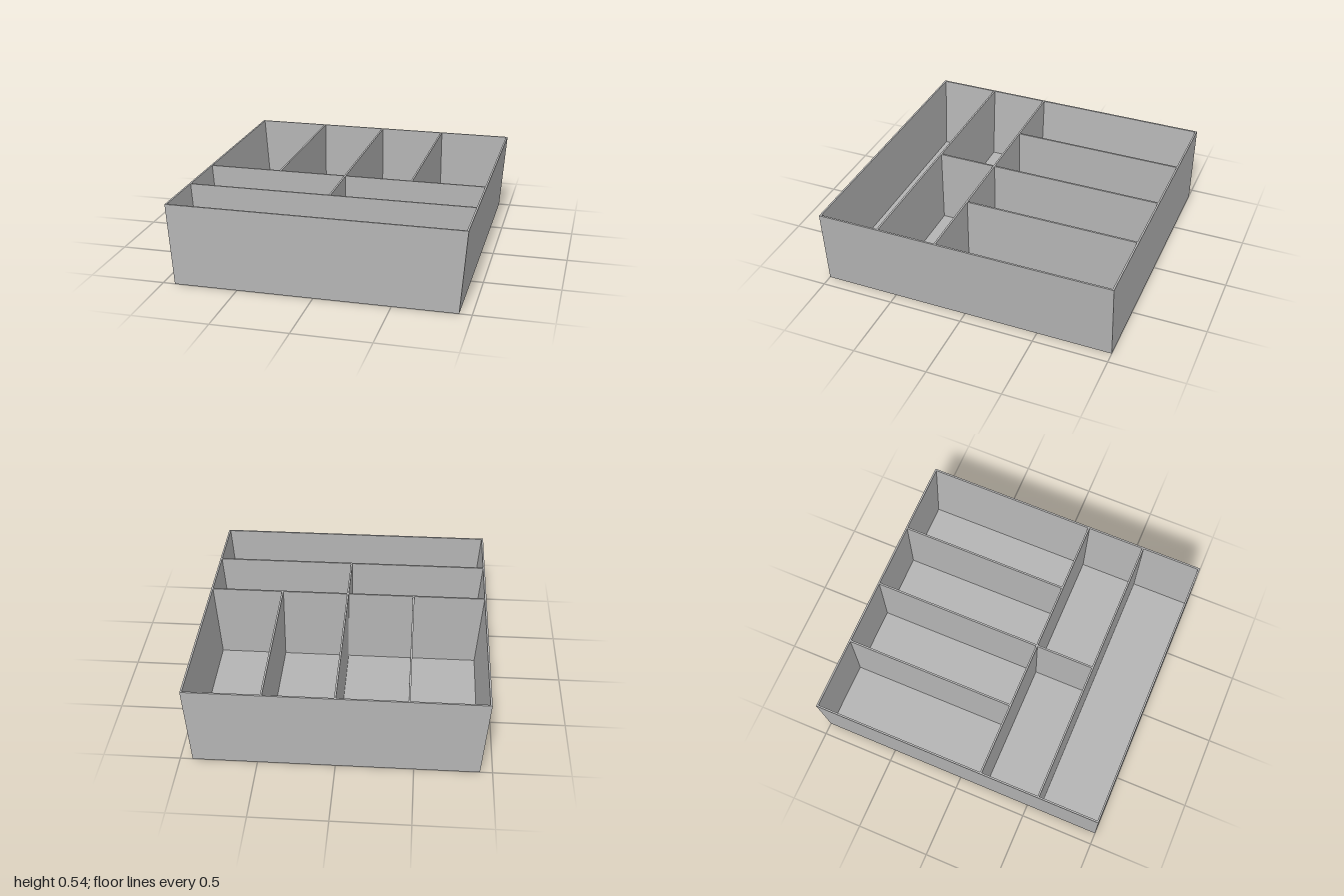
import * as THREE from 'three';

const H = 0.54;        // tray height
const T = 0.012;       // wall thickness
const BOTTOM = 0.92;   // outer half width at the base
const TOP = 0.96;      // outer half width at the rim

// Outer half width of the flared tray at height y
const halfWidth = (y) => BOTTOM + (TOP - BOTTOM) * (y / H);

export function createModel() {
  const group = new THREE.Group();
  group.name = 'compartmentTray';
  const grey = new THREE.MeshStandardMaterial({ color: 0xb4b4b4 });
  grey.name = 'grey';

  // Extrudes an outline in the xy plane from z0 to z1
  function slab(name, points, z0, z1) {
    const shape = new THREE.Shape(points.map(([x, y]) => new THREE.Vector2(x, y)));
    const geometry = new THREE.ExtrudeGeometry(shape, { depth: z1 - z0, bevelEnabled: false });
    geometry.translate(0, 0, z0);
    const mesh = new THREE.Mesh(geometry, grey);
    mesh.name = name;
    group.add(mesh);
  }

  // Trapezoid spanning the tray between two heights
  const span = (y0, y1, inset) => {
    const a = halfWidth(y0) - inset, b = halfWidth(y1) - inset;
    return [[-a, y0], [a, y0], [b, y1], [-b, y1]];
  };

  // Floor and end walls
  slab('floor', span(0, T, T), -1 + T, 1 - T);
  slab('frontWall', span(0, H, 0), 1 - T, 1);
  slab('backWall', span(0, H, 0), -1, -1 + T);

  // Flared side walls
  for (const [name, s] of [['leftWall', 1], ['rightWall', -1]]) {
    slab(name, [
      [s * (BOTTOM - T), 0], [s * BOTTOM, 0], [s * TOP, H], [s * (TOP - T), H],
    ], -1 + T, 1 - T);
  }

  // Cross dividers running the full width
  const rows = [0.18, 0.583];
  rows.forEach((z) => slab('crossDivider', span(T, H, T), z - T / 2, z + T / 2));

  // Lengthwise dividers: three in the back row, one in the middle row
  const upright = (x) => [[x - T / 2, T], [x + T / 2, T], [x + T / 2, H], [x - T / 2, H]];
  for (const x of [-0.457, 0, 0.457]) {
    slab('backRowDivider', upright(x), -1 + T, rows[0] - T / 2);
  }
  slab('middleRowDivider', upright(0), rows[0] + T / 2, rows[1] - T / 2);

  return group;
}
